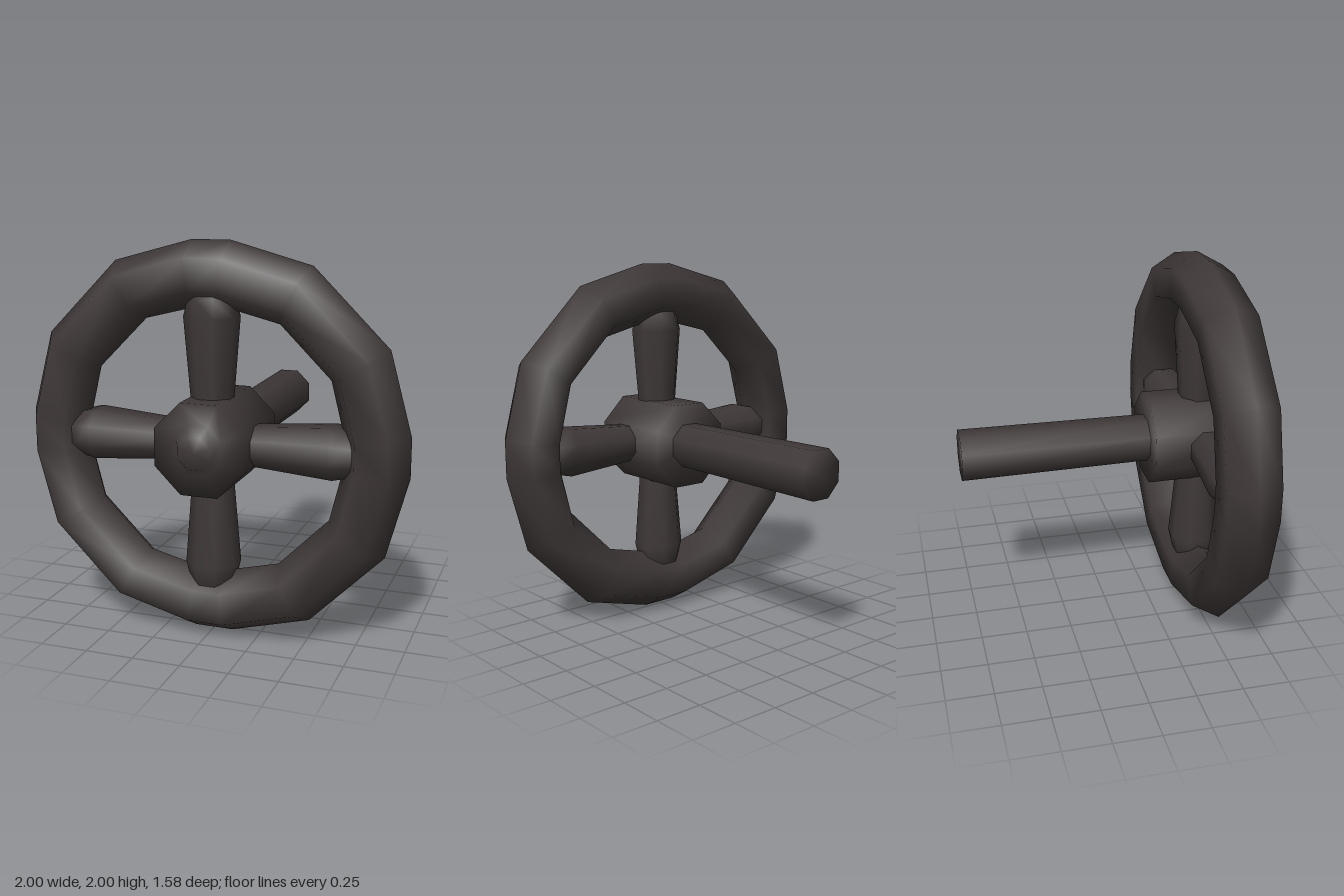
import * as THREE from 'three';
import { mergeVertices } from 'three/addons/utils/BufferGeometryUtils.js';

const WHEEL_Z = 0.525;
const CENTRE_Y = 1;

// Eight-sided turned part; profile pairs are [distance across flats / 2, height]
function octagonLathe(profile) {
  const k = 1 / Math.cos(Math.PI / 8);
  const points = profile.map(([r, h]) => new THREE.Vector2(r * k, h));
  return new THREE.LatheGeometry(points, 8, Math.PI / 8);
}

// Six-sided ring with sixteen unevenly spaced sections, shorter beside the spokes
function rimGeometry() {
  const angles = [5.7, 29.9, 60.1, 84.3];
  const g = new THREE.TorusGeometry(0.863, 0.163, 6, 16);
  const p = g.attributes.position;
  for (let n = 0; n < p.count; n++) {
    const i = (n % 17) % 16;
    const a = THREE.MathUtils.degToRad(Math.floor(i / 4) * 90 + angles[i % 4]);
    const inset = i % 4 === 0 || i % 4 === 3 ? 0.02 : 0;
    const r = Math.hypot(p.getX(n), p.getY(n)) - inset;
    p.setXYZ(n, r * Math.cos(a), r * Math.sin(a), p.getZ(n) * 1.01);
  }
  // weld the seams so the shading stays smooth
  g.deleteAttribute('uv');
  g.deleteAttribute('normal');
  const welded = mergeVertices(g, 1e-4);
  welded.computeVertexNormals();
  return welded;
}

export function createModel() {
  const model = new THREE.Group();
  model.name = 'handwheel';
  const darkMetal = new THREE.MeshStandardMaterial({ color: 0x3e3737 });
  darkMetal.name = 'dark metal';

  const add = (name, geometry, z) => {
    const mesh = new THREE.Mesh(geometry, darkMetal);
    mesh.name = name;
    mesh.position.set(0, CENTRE_Y, z);
    model.add(mesh);
    return mesh;
  };

  add('rim', rimGeometry(), WHEEL_Z);

  // Four spokes that swell towards the rim
  const spoke = octagonLathe([[0.095, 0.15], [0.13, 0.63], [0.11, 0.72], [0.08, 0.82]]);
  for (let i = 0; i < 4; i++) add('spoke', spoke, WHEEL_Z).rotation.z = i * Math.PI / 2;

  // Hub with the small tapered nut on its front
  const hub = octagonLathe([[0, 0.23], [0.232, 0.23], [0.232, 0.725], [0.12, 0.725], [0.08, 0.79], [0, 0.79]]);
  add('hub', hub, 0).rotation.x = Math.PI / 2;

  // Shaft running backwards, slightly thicker at its end
  const shaft = octagonLathe([[0, -0.79], [0.127, -0.79], [0.118, 0.26]]);
  add('shaft', shaft, 0).rotation.x = Math.PI / 2;

  return model;
}
